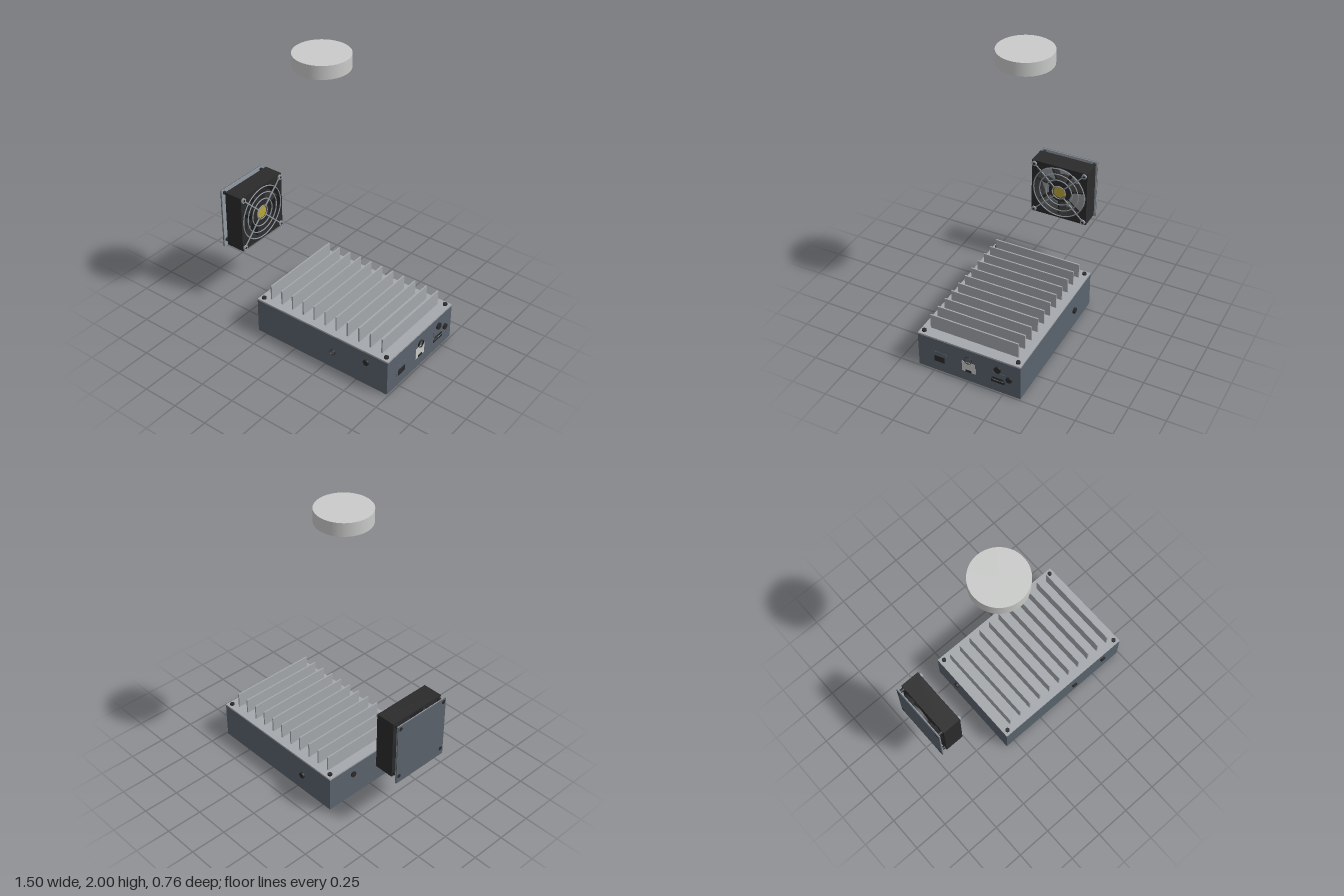
import * as THREE from 'three';

const mat = (name, color, extra = {}) => {
  const m = new THREE.MeshStandardMaterial({ color, ...extra });
  m.name = name;
  return m;
};

export function createModel() {
  const slate = mat('slate enclosure', 0x5a636d);
  const grey = mat('grey aluminium', 0xa5a8ac);
  const pale = mat('pale knob', 0xc9cbc9);
  const steel = mat('steel', 0x9299a1);
  const black = mat('black plastic', 0x2b2b2b);
  const blackThin = black.clone();
  blackThin.side = THREE.DoubleSide;
  const yellow = mat('yellow label', 0xb8a53c);

  const root = new THREE.Group();
  const group = (name, parent = root) => {
    const g = new THREE.Group();
    g.name = name;
    parent.add(g);
    return g;
  };
  const add = (parent, name, geo, material, x = 0, y = 0, z = 0) => {
    const m = new THREE.Mesh(geo, material);
    m.name = name;
    m.position.set(x, y, z);
    parent.add(m);
    return m;
  };
  const box = (p, name, m, w, h, d, x, y, z) =>
    add(p, name, new THREE.BoxGeometry(w, h, d), m, x, y, z);
  // cylinder whose axis runs along x, y or z
  const disc = (p, name, m, axis, r, len, x, y, z, open = false) => {
    const geo = new THREE.CylinderGeometry(r, r, len, 32, 1, open);
    if (axis === 'x') geo.rotateZ(Math.PI / 2);
    if (axis === 'z') geo.rotateX(Math.PI / 2);
    return add(p, name, geo, m, x, y, z);
  };

  // enclosure, lid and cooling fins
  const enclosure = group('enclosure');
  box(enclosure, 'case', slate, 1.055, 0.253, 0.733, 0.21, 0.1265, 0);
  box(enclosure, 'lid', grey, 1.055, 0.012, 0.733, 0.21, 0.259, 0);
  for (let i = 0; i < 11; i++) {
    box(enclosure, 'coolingFin', grey, 0.01, 0.107, 0.63, -0.24 + i * 0.0895, 0.318, 0);
  }
  for (const x of [-0.285, 0.705]) for (const z of [-0.336, 0.336]) {
    disc(enclosure, 'lidScrew', black, 'y', 0.015, 0.012, x, 0.27, z);
  }

  // round connectors on all four sides
  const ports = group('ports');
  disc(ports, 'frontSocket', blackThin, 'z', 0.02, 0.014, 0.312, 0.132, 0.373, true);
  disc(ports, 'frontButton', black, 'z', 0.02, 0.014, 0.577, 0.185, 0.373);
  disc(ports, 'backButton', black, 'z', 0.021, 0.014, -0.055, 0.132, -0.373);
  disc(ports, 'leftButton', black, 'x', 0.02, 0.012, -0.323, 0.185, -0.16);
  disc(ports, 'sideSocket', blackThin, 'x', 0.026, 0.012, 0.743, 0.176, 0, true);
  disc(ports, 'sideButton', black, 'x', 0.024, 0.012, 0.743, 0.185, -0.21);
  disc(ports, 'sideButton', black, 'x', 0.021, 0.012, 0.743, 0.132, -0.29);

  // rectangular connectors on the right-hand end
  const plate = (name, m, h, d, y, z, lift) =>
    box(ports, name, m, 0.004, h, d, 0.7365 + lift, y, z);
  plate('usbFrame', slate, 0.082, 0.1, 0.114, 0.211, 0.001);
  plate('usbSlot', black, 0.046, 0.074, 0.1, 0.211, 0.003);
  plate('networkPort', pale, 0.08, 0.096, 0.115, 0, 0.001);
  plate('networkLatch', black, 0.017, 0.04, 0.084, 0, 0.003);
  plate('doublePortFrame', slate, 0.082, 0.1, 0.114, -0.21, 0.001);
  plate('doublePortSlot', black, 0.028, 0.096, 0.088, -0.21, 0.003);
  plate('doublePortSlot', black, 0.01, 0.078, 0.11, -0.21, 0.003);
  plate('doublePortDivider', steel, 0.004, 0.09, 0.095, -0.21, 0.004);

  // floating round knob
  disc(root, 'knob', pale, 'y', 0.183, 0.09, -0.055, 1.955, 0).geometry =
    new THREE.CylinderGeometry(0.183, 0.183, 0.09, 64);

  // fan, modelled facing +z and turned towards +x
  const fan = group('fan');
  fan.position.set(-0.64, 0.66, 0);
  fan.rotation.y = Math.PI / 2;

  const s = 0.209;
  const outline = new THREE.Shape([
    new THREE.Vector2(-s, -s), new THREE.Vector2(s, -s),
    new THREE.Vector2(s, s), new THREE.Vector2(-s, s),
  ]);
  const bore = new THREE.Path();
  bore.absarc(0, 0, 0.2, 0, Math.PI * 2, true);
  outline.holes.push(bore);
  add(fan, 'fanHousing', new THREE.ExtrudeGeometry(outline,
    { depth: 0.136, bevelEnabled: false, curveSegments: 48 }), black, 0, 0, -0.068);

  disc(fan, 'fanHub', black, 'z', 0.083, 0.1, 0, 0, 0.005);
  disc(fan, 'hubLabel', yellow, 'z', 0.043, 0.008, 0, 0, 0.063);

  // steep blades, seen almost edge-on
  for (let i = 0; i < 7; i++) {
    const arm = group('fanBlade', fan);
    arm.rotation.z = 0.2 + (i / 7) * Math.PI * 2;
    const blade = box(arm, 'blade', black, 0.118, 0.012, 0.085, 0.137, 0, 0);
    blade.rotation.x = 0.2;
  }

  // wire guard: rings and four diagonal spokes
  const guard = group('fanGuard', fan);
  for (const r of [0.05, 0.1, 0.147, 0.193]) {
    add(guard, 'guardRing', new THREE.TorusGeometry(r, 0.004, 6, 48), steel, 0, 0, 0.07);
  }
  for (let i = 0; i < 4; i++) {
    const arm = group('guardSpoke', guard);
    arm.rotation.z = Math.PI / 4 + i * Math.PI / 2;
    box(arm, 'spoke', steel, 0.225, 0.008, 0.007, 0.16, 0, 0.07);
  }

  // corner screws and rear standoffs
  for (const x of [-0.188, 0.188]) for (const y of [-0.188, 0.188]) {
    disc(fan, 'cornerScrew', steel, 'z', 0.018, 0.014, x, y, 0.073);
    disc(fan, 'screwSocket', black, 'z', 0.008, 0.004, x, y, 0.079);
    disc(fan, 'standoff', black, 'z', 0.012, 0.034, x, y, -0.083);
    disc(fan, 'plateScrew', black, 'z', 0.014, 0.004, x, y, -0.11);
  }

  // mounting plate behind the fan
  box(fan, 'plateFront', steel, 0.42, 0.448, 0.006, 0, -0.015, -0.101);
  box(fan, 'plateBack', slate, 0.42, 0.448, 0.006, 0, -0.015, -0.107);

  return root;
}
